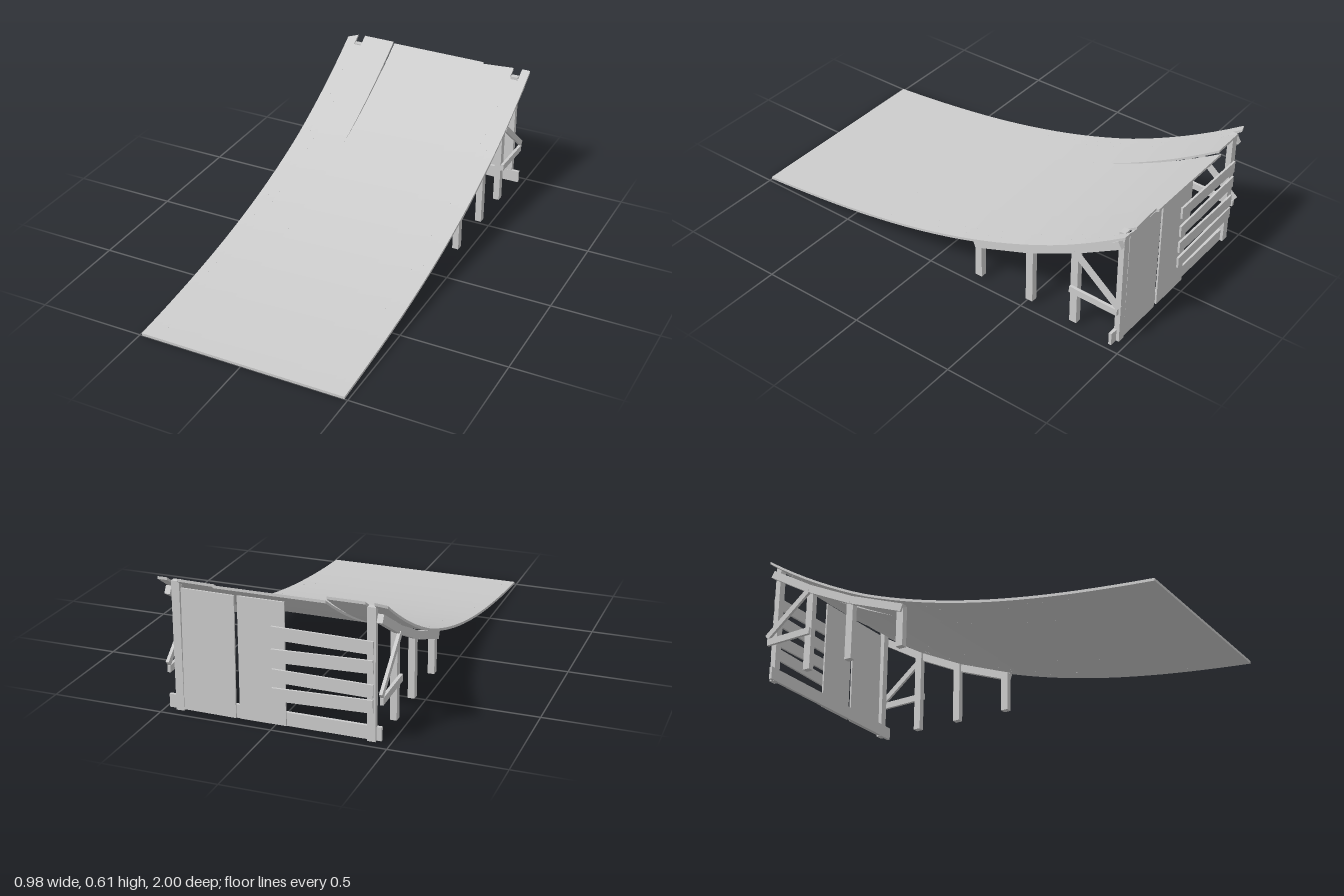
import * as THREE from 'three';

const material = new THREE.MeshStandardMaterial({ color: 0xcccccc, flatShading: false });
const THICK = 0.012;

// Height of the ramp surface at depth z
function rampY(z) {
  const u = (1 - z) / 2;
  return 0.012 + 0.145 * u + 0.15 * u * u + 0.29 * u * u * u;
}

function add(group, name, geometry) {
  const mesh = new THREE.Mesh(geometry, material);
  mesh.name = name;
  group.add(mesh);
  return mesh;
}

function box(group, name, w, h, d, x, y, z) {
  const mesh = add(group, name, new THREE.BoxGeometry(w, h, d));
  mesh.position.set(x, y, z);
  return mesh;
}

// Lumber running between two (z, y) points at a given x
function beam(group, name, x, width, height, [z0, y0], [z1, y1]) {
  const mesh = box(group, name, width, height, Math.hypot(z1 - z0, y1 - y0), x, (y0 + y1) / 2, (z0 + z1) / 2);
  mesh.rotation.x = Math.atan2(y1 - y0, z0 - z1);
  return mesh;
}

// Curved strip from the front edge to a back edge that may be cut askew;
// past liftFrom it peels upward by lift
function strip(group, name, x0, x1, back0, back1, liftFrom = -1, lift = 0) {
  const g = new THREE.BoxGeometry(1, 1, 1, 1, 1, 28);
  const p = g.attributes.position;
  for (let i = 0; i < p.count; i++) {
    const s = p.getX(i) + 0.5;
    const x = x0 + (x1 - x0) * s;
    const back = back0 + (back1 - back0) * s;
    const z = 1 + (back - 1) * (0.5 - p.getZ(i));
    const peel = lift ? lift * Math.max(0, (liftFrom - z) / (liftFrom + 1)) : 0;
    p.setXYZ(i, x, rampY(z) + peel - (p.getY(i) < 0 ? THICK : 0), z);
  }
  g.computeVertexNormals();
  add(group, name, g);
}

export function createModel() {
  const model = new THREE.Group();
  model.name = 'ramp';

  // Riding surface: three sheets, the outer two notched around the back posts
  const deck = new THREE.Group();
  deck.name = 'deck';
  model.add(deck);
  strip(deck, 'centreSheet', -0.245, 0.24, -1, -1);
  for (const [x0, x1, b0, b1] of [
    [-0.49, -0.442, -0.97, -0.988], [-0.442, -0.405, -0.94, -0.94], [-0.405, -0.245, -0.99, -0.99],
  ]) strip(deck, 'rightSheet', x0, x1, b0, b1, -0.42, 0.02);
  for (const [x0, x1, b0, b1] of [
    [0.24, 0.4, -0.985, -0.995], [0.4, 0.443, -0.95, -0.95], [0.443, 0.485, -0.997, -0.997],
  ]) strip(deck, 'leftSheet', x0, x1, b0, b1, -0.68, 0.009);

  // Side frames
  for (const side of [-1, 1]) {
    const frame = new THREE.Group();
    frame.name = side < 0 ? 'rightFrame' : 'leftFrame';
    model.add(frame);
    const x = side * 0.445;

    for (const z of [-0.24, -0.515, -0.745]) {
      const top = rampY(z) - 0.025;
      box(frame, 'sidePost', 0.03, top - 0.012, 0.035, x, (top + 0.012) / 2, z);
    }
    // Stringer in straight lengths under the curve
    const knots = [-0.225, -0.505, -0.745, -0.965].map((z) => [z, rampY(z) - 0.036]);
    for (let i = 0; i < 3; i++) beam(frame, 'stringer', side * 0.458, 0.025, 0.036, knots[i], knots[i + 1]);

    beam(frame, 'horizontalBrace', side * 0.467, 0.014, 0.032, [-0.73, 0.195], [-0.97, 0.188]);
    beam(frame, 'diagonalBrace', side * 0.467, 0.014, 0.027, [-0.75, 0.4], [-0.975, 0.213]);
    box(frame, 'backPost', 0.036, 0.575, 0.026, side * 0.423, 0.2935, -0.955);
  }

  // Back wall: bottom plank, two plywood panels and four loose slats
  const wall = new THREE.Group();
  wall.name = 'backWall';
  model.add(wall);
  box(wall, 'bottomPlank', 0.94, 0.06, 0.014, 0.008, 0.037, -0.947);
  const panelA = box(wall, 'plywoodPanel', 0.235, 0.54, 0.008, 0.284, 0.282, -0.963);
  panelA.rotation.z = 0.01;
  box(wall, 'plywoodPanel', 0.205, 0.54, 0.008, 0.048, 0.282, -0.963);
  for (const [y, tilt] of [[0.415, 0.01], [0.325, -0.03], [0.23, 0.01], [0.155, -0.03]]) {
    const slat = box(wall, 'slat', 0.435, 0.056, 0.01, -0.215, y, -0.972);
    slat.rotation.z = tilt;
  }

  return model;
}
